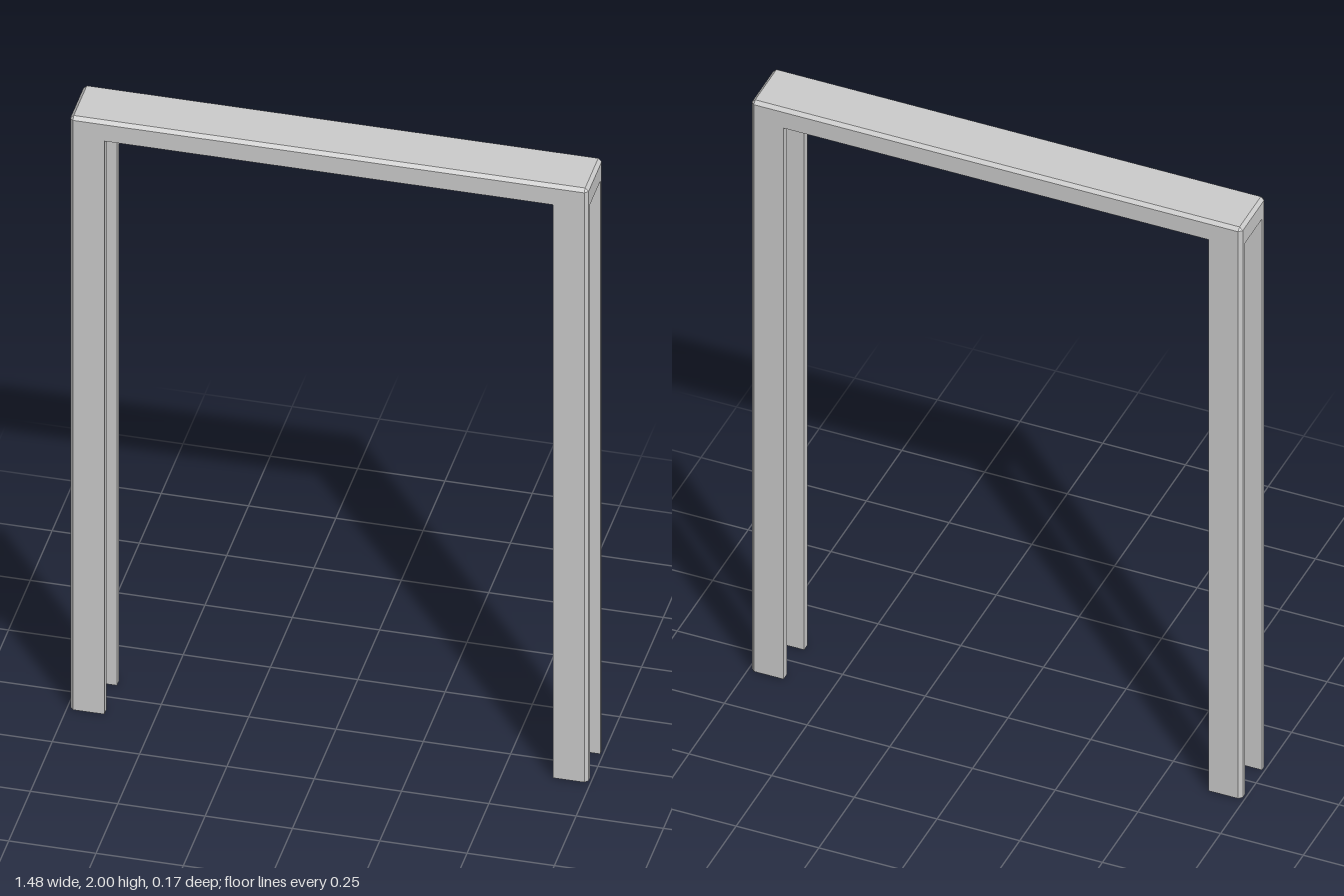
import * as THREE from 'three';

const W = 0.742, D = 0.085, H = 2;      // outer half width, half depth, height
const INNER_W = 0.642, INNER_D = 0.06;  // inner faces of the legs
const HEAD_Y = 1.935, C = 0.01;         // underside of the header, chamfer size

// Lofts convex [x, z] outlines, each at its height, into a closed flat-faced solid.
// Outlines run counter-clockwise as seen from above.
function loft(levels) {
  const rings = levels.map(([y, pts]) => pts.map(([x, z]) => [x, y, z]));
  const n = rings[0].length, top = rings[rings.length - 1], pos = [];
  const tri = (a, b, c) => pos.push(...a, ...b, ...c);
  for (let k = 0; k + 1 < rings.length; k++) {
    for (let i = 0; i < n; i++) {
      const j = (i + 1) % n, lo = rings[k], hi = rings[k + 1];
      tri(lo[i], lo[j], hi[j]);
      tri(lo[i], hi[j], hi[i]);
    }
  }
  for (let i = 1; i + 1 < n; i++) {
    tri(rings[0][0], rings[0][i + 1], rings[0][i]);
    tri(top[0], top[i], top[i + 1]);
  }
  const geometry = new THREE.BufferGeometry();
  geometry.setAttribute('position', new THREE.Float32BufferAttribute(pos, 3));
  geometry.computeVertexNormals();
  return geometry;
}

// Mirrors an outline, keeping it counter-clockwise
function mirror(pts, sx, sz) {
  const out = pts.map(([x, z]) => [x * sx, z * sz]);
  return sx * sz < 0 ? out.reverse() : out;
}

export function createModel() {
  const group = new THREE.Group();
  const material = new THREE.MeshStandardMaterial({ color: 0xcccccc, flatShading: true });
  const add = (name, geometry) => {
    const mesh = new THREE.Mesh(geometry, material);
    mesh.name = name;
    group.add(mesh);
  };

  // Header: solid bar with chamfered corners and top edges
  const quadrants = [[1, 1], [1, -1], [-1, -1], [-1, 1]];
  const corner = [[W - C, D], [W, D - C]];
  const outline = quadrants.flatMap(([sx, sz]) => mirror(corner, sx, sz));
  const inset = quadrants.flatMap(([sx, sz]) =>
    mirror([[W - C, D - C], [W - C, D - C]], sx, sz));
  add('header', loft([[HEAD_Y, outline], [H - C, outline], [H, inset]]));

  // Legs: four thin flat strips, chamfered on the outer corner
  const leg = [[INNER_W, D], [W - C, D], [W, D - C], [W, INNER_D], [INNER_W, INNER_D]];
  for (const [sx, sz] of quadrants) {
    const strip = mirror(leg, sx, sz);
    add(`${sz > 0 ? 'front' : 'back'}${sx > 0 ? 'Left' : 'Right'}Leg`,
      loft([[0, strip], [HEAD_Y, strip]]));
  }
  return group;
}
